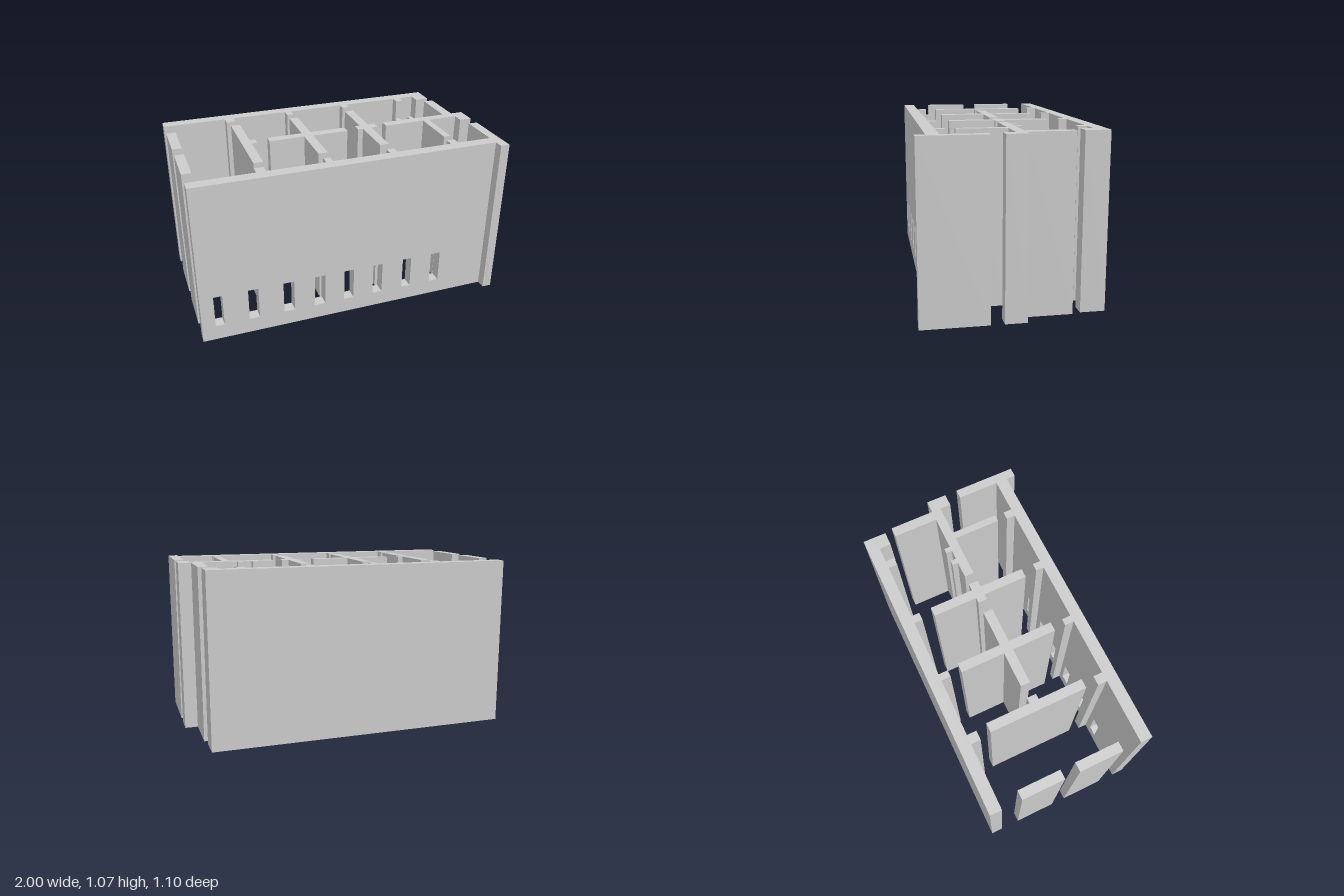
import * as THREE from 'three';

const HEIGHT = 1.065;
const material = new THREE.MeshStandardMaterial({ color: 0xcccccc, flatShading: true });

// Full-height wall from a floor plan outline of [x, z] corners
function planWall(name, corners) {
  const shape = new THREE.Shape(corners.map(([x, z]) => new THREE.Vector2(x, -z)));
  const geometry = new THREE.ExtrudeGeometry(shape, { depth: HEIGHT, bevelEnabled: false });
  geometry.rotateX(-Math.PI / 2);
  const mesh = new THREE.Mesh(geometry, material);
  mesh.name = name;
  return mesh;
}

const rect = (x0, x1, z0, z1) => [[x0, z0], [x0, z1], [x1, z1], [x1, z0]];

// Cross-shaped divider: a long wall x0..x1 with a crossbar from a to b
const cross = (x0, x1, a, b, z0, z1) => [
  [x0, z0], [x0, -0.065], [a, -0.065], [a, -0.005], [x0, -0.005], [x0, z1],
  [x1, z1], [x1, -0.005], [b, -0.005], [b, -0.065], [x1, -0.065], [x1, z0],
];

// Front wall lying in the xy plane, pierced by a row of slot windows
function frontWall() {
  const shape = new THREE.Shape([[-1, 0], [0.94, 0], [0.94, HEIGHT], [-1, HEIGHT]]
    .map(([x, y]) => new THREE.Vector2(x, y)));
  const slots = [[-0.915, -0.86], [-0.7, -0.635], [-0.475, -0.405], [-0.27, -0.2],
    [-0.07, -0.005], [0.13, 0.195], [0.34, 0.4], [0.545, 0.61]];
  for (const [a, b] of slots) {
    shape.holes.push(new THREE.Path([[a, 0.1], [a, 0.315], [b, 0.315], [b, 0.1]]
      .map(([x, y]) => new THREE.Vector2(x, y))));
  }
  const geometry = new THREE.ExtrudeGeometry(shape, { depth: 0.075, bevelEnabled: false });
  geometry.translate(0, 0, 0.41);
  const mesh = new THREE.Mesh(geometry, material);
  mesh.name = 'frontWall';
  return mesh;
}

export function createModel() {
  const model = new THREE.Group();
  model.name = 'building';

  // Outer walls
  model.add(
    frontWall(),
    planWall('backWall', [[-1, -0.55], [-1, -0.475], [0.815, -0.475], [0.815, -0.4],
      [0.905, -0.4], [0.905, -0.55]]),
    planWall('leftFrontWall', rect(0.94, 1, 0.145, 0.545)),
    planWall('rightBackWall', rect(-1, -0.94, -0.35, -0.08)),
    planWall('rightFrontWall', rect(-1, -0.94, 0.015, 0.295)),
  );

  // Pilasters facing each other on the front and back walls
  const pilasters = [[-0.59, -0.53, -0.415], [-0.165, -0.122, -0.415],
    [0.245, 0.295, -0.422], [0.663, 0.715, -0.417]];
  for (const [x0, x1, zBack] of pilasters) {
    model.add(planWall('backPilaster', rect(x0, x1, -0.475, zBack)));
    model.add(planWall('frontPilaster', rect(x0, x1, -zBack - 0.063, 0.41)));
  }

  // Inner dividers
  model.add(
    planWall('endDivider', [[-0.575, -0.345], [-0.575, 0.28], [-0.515, 0.28],
      [-0.515, -0.005], [-0.48, -0.005], [-0.48, -0.065], [-0.515, -0.065], [-0.515, -0.345]]),
    planWall('middleDivider', cross(-0.17, -0.11, -0.4, 0.125, -0.345, 0.28)),
    planWall('narrowDivider', cross(0.235, 0.295, 0.2, 0.34, -0.345, 0.28)),
  );

  // Branching wall on the left side, with two small fins
  model.add(planWall('branchingWall', [
    [0.4, -0.065], [0.4, -0.005], [0.675, -0.005], [0.675, 0.295], [0.72, 0.295],
    [0.72, -0.005], [0.92, -0.005], [0.92, 0.065], [1, 0.065], [1, -0.065],
    [0.92, -0.065], [0.92, -0.35], [0.855, -0.35], [0.855, -0.065],
    [0.635, -0.065], [0.635, -0.103], [0.603, -0.103], [0.603, -0.065],
    [0.54, -0.065], [0.54, -0.103], [0.508, -0.103], [0.508, -0.065],
  ]));

  return model;
}
